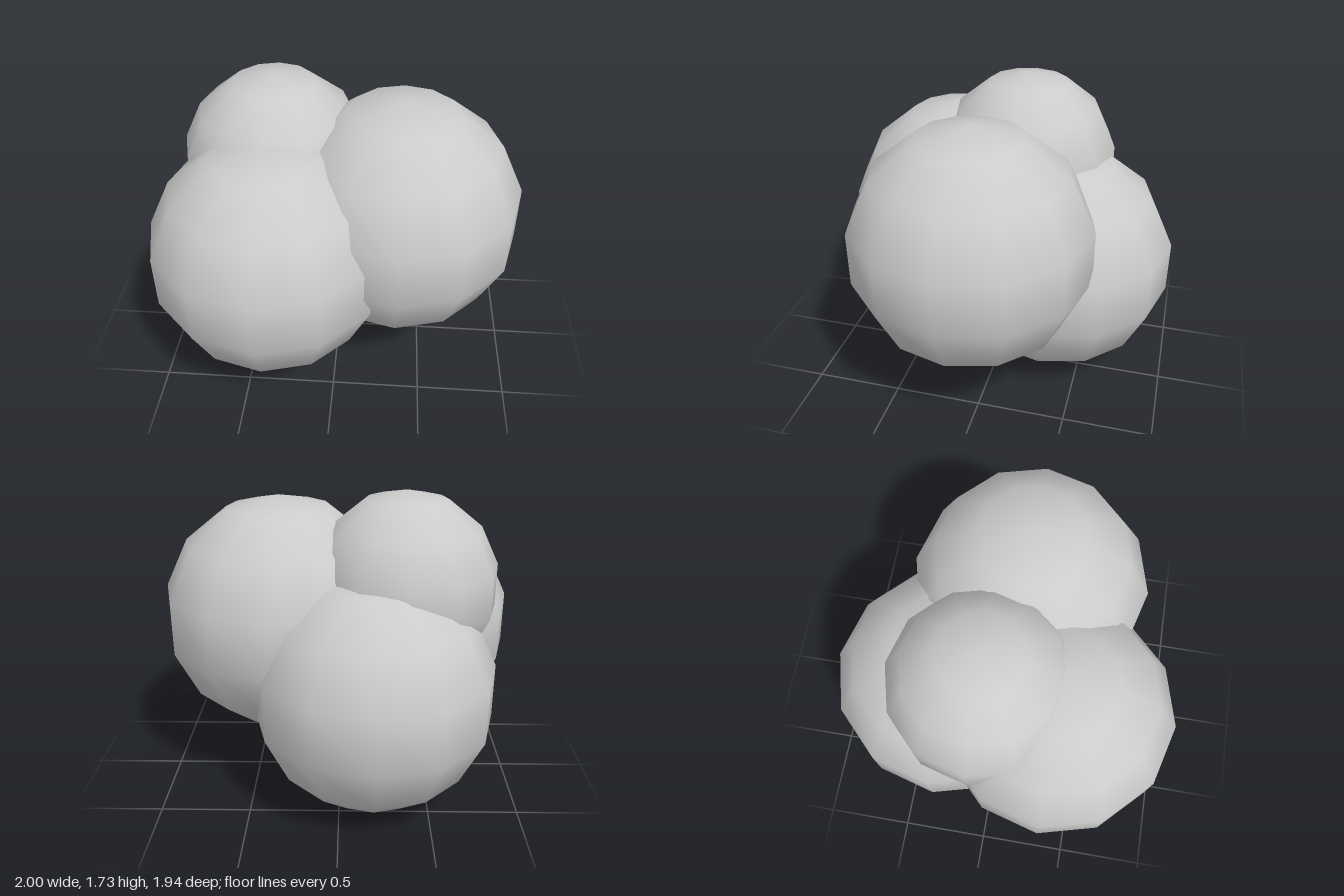
import * as THREE from 'three';

// Cluster of four overlapping low-poly, smooth-shaded balls: [name, radius, x, y, z]
const BALLS = [
  ['frontRightBall', 0.663, -0.354, 0.873, 0.323],
  ['leftBall', 0.674, 0.34, 1.003, 0.066],
  ['lowerBackBall', 0.676, -0.19, 0.68, -0.314],
  ['topBall', 0.521, -0.355, 1.214, -0.078],
];

export function createModel() {
  const group = new THREE.Group();
  group.name = 'ballCluster';
  const material = new THREE.MeshStandardMaterial({ color: 0xcccccc });
  for (const [name, radius, x, y, z] of BALLS) {
    const ball = new THREE.Mesh(new THREE.SphereGeometry(radius, 12, 7), material);
    ball.name = name;
    ball.position.set(x, y, z);
    group.add(ball);
  }
  return group;
}
